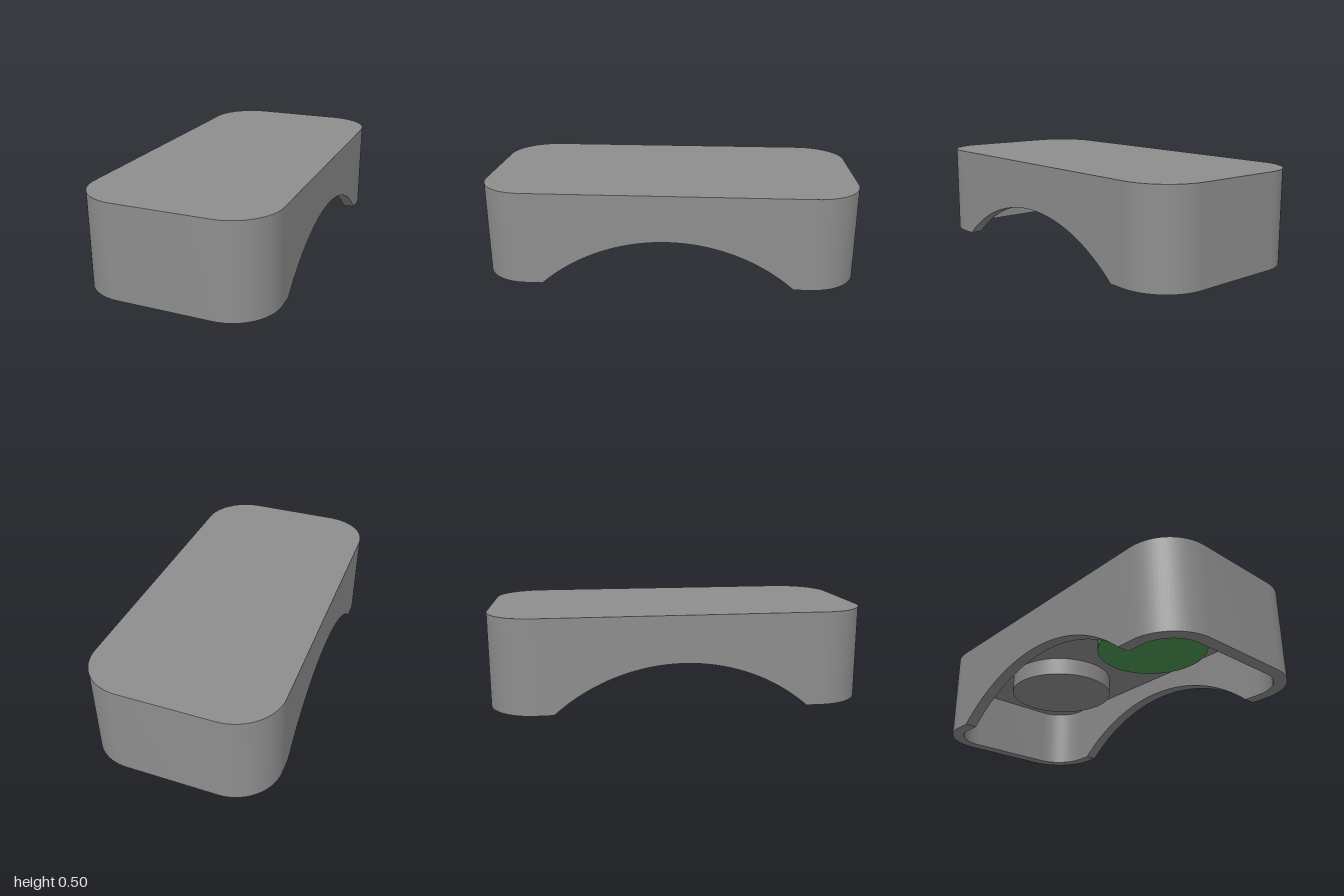
import * as THREE from 'three';
import { toCreasedNormals } from 'three/addons/utils/BufferGeometryUtils.js';

const HEIGHT = 0.5, CEILING = 0.35, WALL = 0.067;
const CORNER = 0.25, CX = 0.25, CZ = 0.75;
const ARCH_DROP = 0.75; // arch of radius 1, centred this far below the floor
const ARCH_ANGLE = Math.acos(ARCH_DROP);
const ARC_STEPS = 20, ARCH_STEPS = 40;

// Rounded rectangle shrunk by `inset`; each point carries the height of the lower edge.
function outline(inset) {
  const points = [];
  const r = CORNER - inset;
  const corner = (quarter, sx, sz) => {
    for (let i = 0; i <= ARC_STEPS; i++) {
      const a = (quarter + i / ARC_STEPS) * Math.PI / 2;
      points.push({ x: sx * CX + r * Math.cos(a), z: sz * CZ + r * Math.sin(a), low: 0 });
    }
  };
  const archedSide = (side) => {
    for (let i = 0; i <= ARCH_STEPS; i++) {
      const a = side * (2 * i / ARCH_STEPS - 1) * ARCH_ANGLE;
      points.push({ x: side * (CX + r), z: Math.sin(a), low: Math.max(0, Math.cos(a) - ARCH_DROP) });
    }
  };
  corner(0, 1, 1);
  corner(1, -1, 1);
  archedSide(-1);
  corner(2, -1, -1);
  corner(3, 1, -1);
  archedSide(1);
  return points;
}

// Skin a sequence of closed rings, skipping collapsed triangles.
function skin(rings) {
  const positions = [];
  const triangle = (a, b, c) => {
    if (a.equals(b) || b.equals(c) || c.equals(a)) return;
    for (const p of [a, b, c]) positions.push(p.x, p.y, p.z);
  };
  for (let k = 0; k + 1 < rings.length; k++) {
    const A = rings[k], B = rings[k + 1];
    for (let i = 0; i < A.length; i++) {
      const j = (i + 1) % A.length;
      triangle(A[i], A[j], B[i]);
      triangle(A[j], B[j], B[i]);
    }
  }
  const geometry = new THREE.BufferGeometry();
  geometry.setAttribute('position', new THREE.Float32BufferAttribute(positions, 3));
  return toCreasedNormals(geometry, 0.5);
}

export function createModel() {
  const group = new THREE.Group();
  const grey = new THREE.MeshStandardMaterial({ color: 0x8e8e8e });
  const green = new THREE.MeshStandardMaterial({ color: 0x4c9650 });

  // Hollow housing: top, outer wall, arched rim, inner wall, ceiling
  const outer = outline(0), inner = outline(WALL);
  const ring = (points, y) => points.map((p) => new THREE.Vector3(p.x, y ?? p.low, p.z));
  const centre = (y) => outer.map(() => new THREE.Vector3(0, y, 0));
  const housing = new THREE.Mesh(skin([
    centre(HEIGHT), ring(outer, HEIGHT), ring(outer),
    ring(inner), ring(inner, CEILING), centre(CEILING),
  ]), grey);
  housing.name = 'housing';
  group.add(housing);

  // Two round pads hanging from the ceiling
  const padGeometry = new THREE.CylinderGeometry(0.3, 0.3, 0.1, 64);
  for (const [name, z, material] of [['greenPad', 0.4, green], ['greyPad', -0.4, grey]]) {
    const pad = new THREE.Mesh(padGeometry, material);
    pad.name = name;
    pad.position.set(0, CEILING - 0.05, z);
    group.add(pad);
  }
  return group;
}
